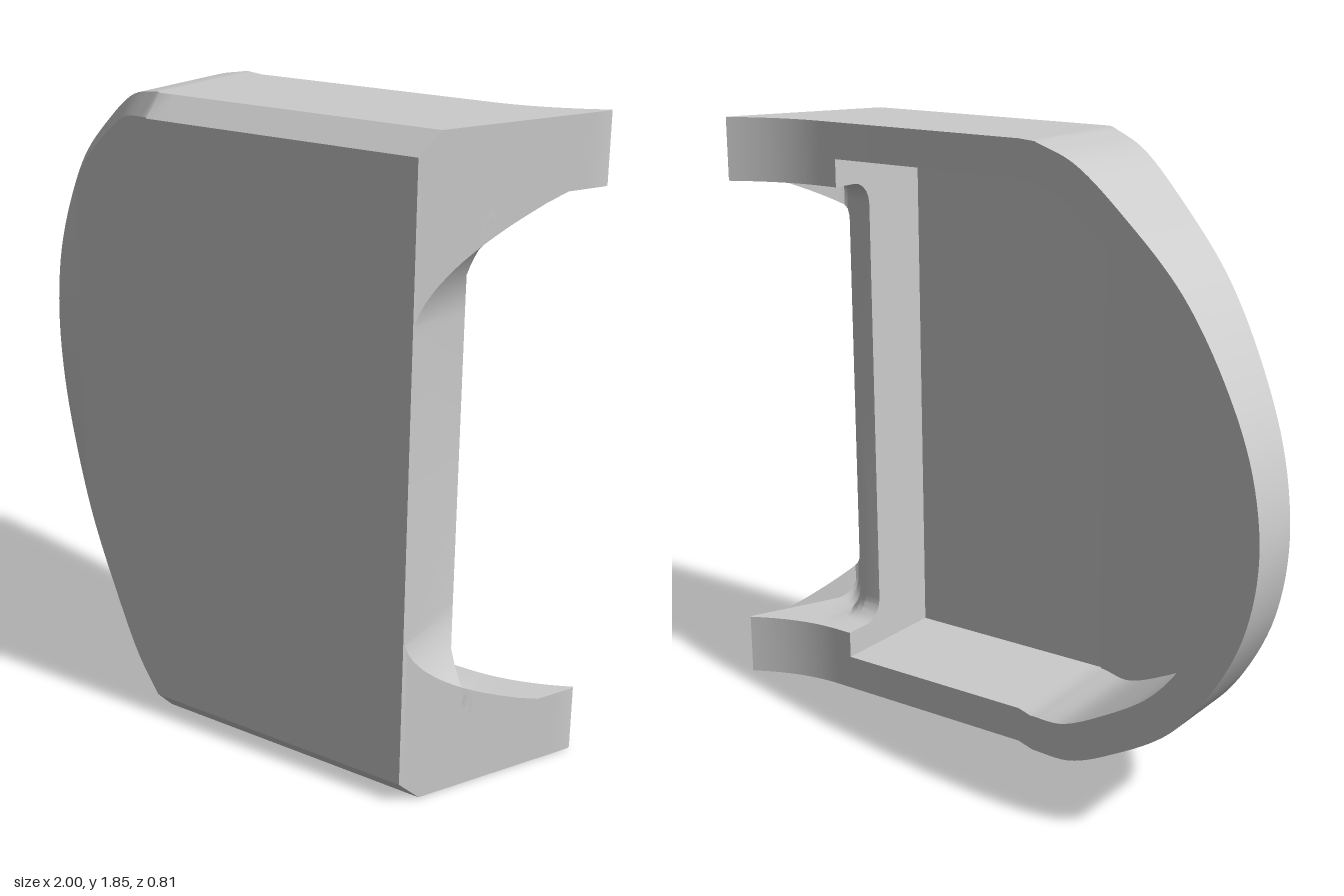
import * as THREE from 'three';
import { toCreasedNormals } from 'three/addons/utils/BufferGeometryUtils.js';

const H = 1.845, MID = H / 2;          // total height and mirror plane
const RIM = 0.11, SLOT_Y = 1.65, FILLET = 0.07;
const BEND = -0.08, WALL_IN = 0.64, WALL_OUT = 0.755;
const { lerp, clamp } = THREE.MathUtils;
const V = (x, y, z) => new THREE.Vector3(x, y, z);

// Depth of each surface as a function of x
const frontZ = x => x < BEND ? 0.4 + 0.675 * (x - BEND) : 0.4 - 2.15 * Math.max(0, x - WALL_OUT);
const floorZ = x => x < BEND ? 0.345 + 0.65 * (x - BEND) : 0.345;
const backZ = x => {
  if (x < -0.03) return -0.055 + 0.365 * (x + 0.03);
  return -0.055 - 0.085 * Math.max(0, (x - 0.7) / 0.3) ** 2;
};
const slotZ = x => {
  const p = [[0.64, 0.1], [0.7, 0.1], [0.73, 0.112], [0.755, 0.14], [0.783, 0.19], [0.83, 0.22], [2, 0.22]];
  const i = Math.max(1, p.findIndex(q => q[0] >= x));
  const [a, b] = [p[i - 1], p[i]];
  return lerp(a[1], b[1], (x - a[0]) / (b[0] - a[0]));
};

// Upper half section of the hollow body at an outline point with outward normal n
function bodySection(x, y, nx, ny) {
  const t = clamp((BEND - x) / 0.92, 0, 1);
  const c = lerp(0.06, 0.03, t), drop = lerp(0.06, 0.02, t);
  const ax = x - nx * c, ay = Math.max(MID, y - ny * c);
  const ix = x - nx * RIM, iy = Math.max(MID, y - ny * RIM);
  const corner = Array.from({ length: 6 }, () => V(ix, iy, floorZ(ix)));
  return [
    V(ax, ay, frontZ(ax)), V(x, y, frontZ(x) - drop), V(x, y, backZ(x)), V(ix, iy, backZ(ix)),
    ...corner, V(ix, MID, floorZ(ix)), V(ax, MID, frontZ(ax)),
  ];
}

// Upper half section of the slotted end: end wall, scoop and prong
function endSection(x, open) {
  const zf = frontZ(x), zs = slotZ(x);
  const corner = [];
  for (let i = 0; i < 6; i++) {
    const z = Math.min(zs - FILLET + FILLET * Math.sin(i / 5 * Math.PI / 2), zf);
    const s = clamp((z - zs + FILLET) / FILLET, 0, 1);
    corner.push(V(x, SLOT_Y - FILLET * (1 - Math.sqrt(1 - s * s)), z));
  }
  const scoop = 1.33 + 0.2 * Math.sqrt(Math.max(0, x - WALL_OUT) / 0.075);
  const y = open ? Math.min(scoop, corner[5].y) : MID;
  return [
    V(x, Math.min(H, H + 0.34 - zf), zf), V(x, H, Math.min(0.34, zf)),
    V(x, H, backZ(x)), V(x, SLOT_Y, backZ(x)),
    ...corner, V(x, y, Math.min(zs, zf)), V(x, y, zf),
  ];
}

// Skin the closed sections, then mirror them across the middle height
function loftMirrored(sections) {
  const pos = [];
  const tri = (a, b, c) => {
    pos.push(a.x, a.y, a.z, b.x, b.y, b.z, c.x, c.y, c.z);
    for (const p of [a, c, b]) pos.push(p.x, 2 * MID - p.y, p.z);
  };
  const n = sections[0].length;
  for (let j = 0; j + 1 < sections.length; j++) {
    for (let k = 0; k < n; k++) {
      const a = sections[j][k], b = sections[j + 1][k];
      const c = sections[j + 1][(k + 1) % n], d = sections[j][(k + 1) % n];
      if ([a, b, c, d].every(p => p.y === MID)) continue;
      for (const t of [[a, b, c], [a, c, d]]) {
        const area = t[1].clone().sub(t[0]).cross(t[2].clone().sub(t[0])).length();
        if (area > 1e-9) tri(...t);
      }
    }
  }
  const g = new THREE.BufferGeometry();
  g.setAttribute('position', new THREE.Float32BufferAttribute(pos, 3));
  return toCreasedNormals(g, 0.45);
}

export function createModel() {
  // Rounded end outline, symmetric about the middle height
  const upper = [[-0.965, 1.13], [-0.87, 1.32], [-0.705, 1.525], [-0.47, 1.695], [-0.27, 1.805], [-0.1, H]];
  const outline = new THREE.CatmullRomCurve3([
    ...upper.map(([x, y]) => V(x, 2 * MID - y, 0)).reverse(),
    V(-1, MID, 0),
    ...upper.map(([x, y]) => V(x, y, 0)),
  ]);
  const sections = [];
  const steps = 40;
  for (let i = 0; i <= steps; i++) {
    const u = 0.5 + 0.5 * i / steps;
    const p = outline.getPointAt(u), t = outline.getTangentAt(u);
    if (i === 0) { p.set(-1, MID, 0); t.set(0, 1, 0); }
    sections.push(bodySection(p.x, p.y, -t.y, t.x));
  }
  // Straight body
  for (const x of [BEND, -0.03, WALL_IN]) sections.push(bodySection(x, H, 0, 1));
  // End wall, then the open scoop and prongs
  for (const x of [WALL_IN, 0.7, 0.715, 0.73, 0.743, WALL_OUT]) sections.push(endSection(x, false));
  for (const x of [WALL_OUT, 0.757, 0.762, 0.77, 0.783, 0.8, 0.815, 0.83, 0.84, 0.848, 0.856, 0.864, 0.873,
    0.89, 0.92, 0.95, 0.975, 1]) sections.push(endSection(x, true));
  // Close the prong tip
  sections.push(sections.at(-1).map(() => V(1, (H + SLOT_Y) / 2, -0.133)));

  const shell = new THREE.Mesh(
    loftMirrored(sections),
    new THREE.MeshStandardMaterial({ color: 0xcccccc, side: THREE.DoubleSide }),
  );
  shell.name = 'hollowShellWithProngs';
  const group = new THREE.Group();
  group.name = 'cover';
  group.add(shell);
  return group;
}
